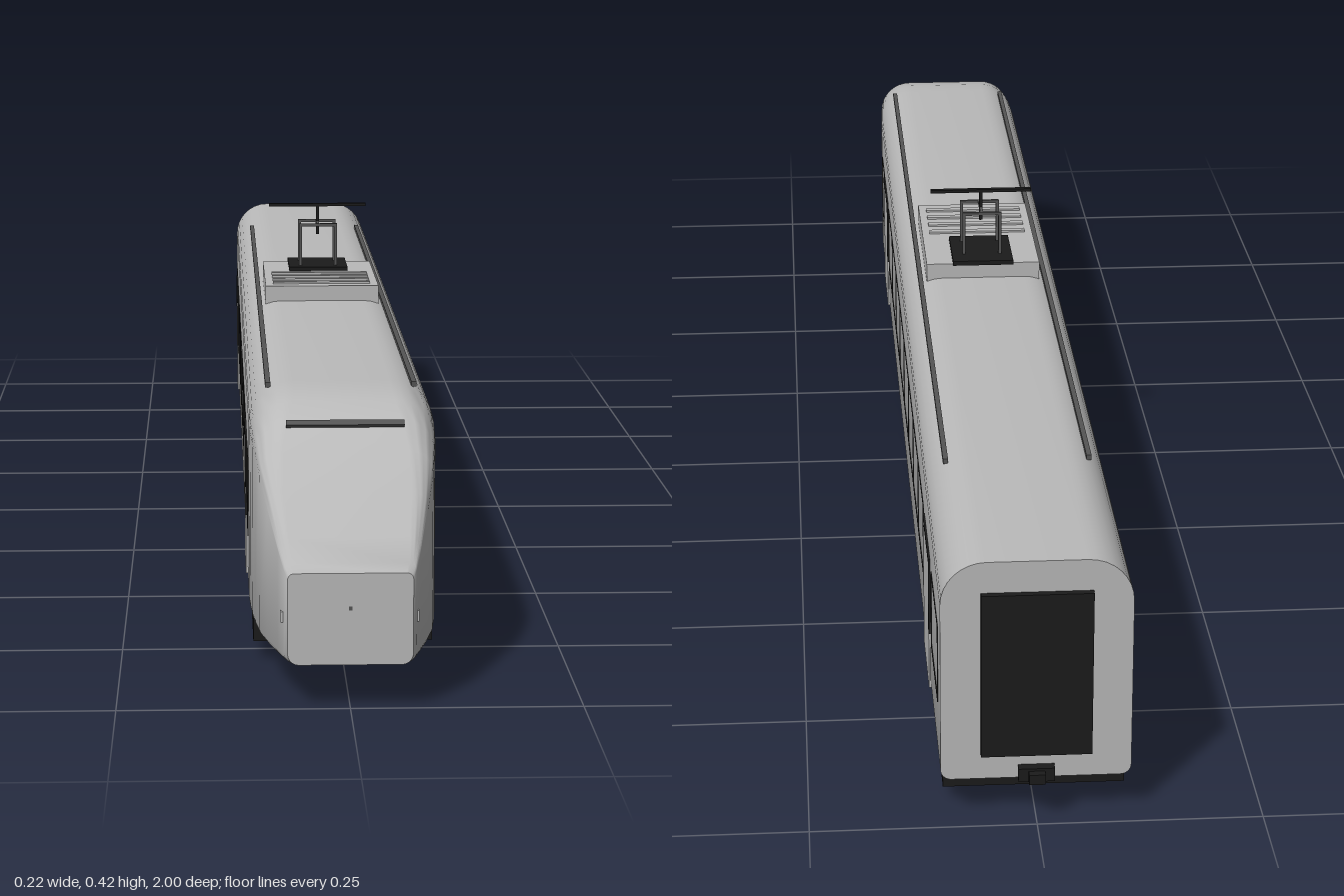
import * as THREE from 'three';
import { toCreasedNormals } from 'three/addons/utils/BufferGeometryUtils.js';

const material = (name, color) => {
  const m = new THREE.MeshStandardMaterial({ color });
  m.name = name;
  return m;
};

// One rounded cross-section, counter-clockwise seen from the front
function section(z, hw, top, rTop, bottom, rBottom) {
  const pts = [];
  const arc = (cx, cy, r, start) => {
    for (let k = 0; k <= 8; k++) {
      const a = start + (k / 8) * Math.PI / 2;
      pts.push([cx + r * Math.cos(a), cy + r * Math.sin(a), z]);
    }
  };
  arc(hw - rBottom, bottom + rBottom, rBottom, -Math.PI / 2);
  arc(hw - rTop, top - rTop, rTop, 0);
  arc(-hw + rTop, top - rTop, rTop, Math.PI / 2);
  arc(-hw + rBottom, bottom + rBottom, rBottom, Math.PI);
  return pts;
}

// Closed skin through a row of cross-sections, rear to front
function loft(rings) {
  const n = rings[0].length, last = rings.length - 1, pos = [];
  const tri = (a, b, c) => pos.push(...a, ...b, ...c);
  for (let i = 0; i < last; i++) {
    for (let j = 0; j < n; j++) {
      const k = (j + 1) % n;
      tri(rings[i][j], rings[i][k], rings[i + 1][j]);
      tri(rings[i][k], rings[i + 1][k], rings[i + 1][j]);
    }
  }
  for (let j = 1; j < n - 1; j++) {
    tri(rings[0][0], rings[0][j + 1], rings[0][j]);
    tri(rings[last][0], rings[last][j], rings[last][j + 1]);
  }
  const g = new THREE.BufferGeometry();
  g.setAttribute('position', new THREE.Float32BufferAttribute(pos, 3));
  return toCreasedNormals(g, 0.5);
}

export function createModel() {
  const train = new THREE.Group();
  train.name = 'railcar';
  const grey = material('body grey', 0xbababa);
  const black = material('underframe black', 0x1b1b1b);
  const dark = material('dark metal', 0x555555);

  const add = (name, geo, mat, x, y, z, parent = train) => {
    const m = new THREE.Mesh(geo, mat);
    m.name = name;
    m.position.set(x, y, z);
    parent.add(m);
    return m;
  };
  const box = (name, w, h, d, mat, x, y, z, parent) =>
    add(name, new THREE.BoxGeometry(w, h, d), mat, x, y, z, parent);

  // Body shell: straight saloon, then a tapering nose: z, half width, top, top radius
  const stations = [
    [-0.98, 0.105, 0.31, 0.05], [0.74, 0.105, 0.31, 0.05],
    [0.78, 0.104, 0.308, 0.049], [0.82, 0.102, 0.301, 0.045],
    [0.855, 0.099, 0.285, 0.036], [0.89, 0.095, 0.258, 0.026],
    [0.93, 0.087, 0.221, 0.018], [0.97, 0.077, 0.18, 0.012],
    [0.992, 0.071, 0.157, 0.009], [1.0, 0.067, 0.148, 0.007],
  ];
  add('bodyShell', loft(stations.map(([z, hw, top, r]) =>
    section(z, hw, top, r, 0.048, 0.012))), grey, 0, 0, 0);

  // Dark slot above the windscreen
  const slot = box('windscreenSlot', 0.13, 0.004, 0.008, dark, 0, 0.283, 0.861);
  slot.rotation.x = 0.6;
  box('noseCouplerCover', 0.004, 0.004, 0.004, dark, 0, 0.11, 0.999);

  // Underframe and wheels
  box('underframe', 0.202, 0.03, 1.75, black, 0, 0.037, -0.075);
  const wheel = new THREE.CylinderGeometry(0.031, 0.031, 0.01, 24).rotateZ(Math.PI / 2);
  for (const z of [0.715, 0.525, -0.56, -0.75])
    for (const s of [-1, 1]) add('wheel', wheel, black, s * 0.055, 0.031, z);

  // Rear gangway door and coupler
  box('gangwayDoor', 0.122, 0.195, 0.012, black, 0, 0.176, -0.982);
  box('couplerBar', 0.018, 0.012, 0.06, black, 0, 0.055, -0.97);
  box('couplerHead', 0.04, 0.016, 0.012, black, 0, 0.056, -0.985);

  // Window frames, doors, roof rails and lamps, mirrored on both sides
  const windows = [[0.615, 0.7], [-0.936, -0.803]];
  for (let i = 0; i < 8; i++) windows.push([0.315 - i * 0.134, 0.449 - i * 0.134]);
  const t = 0.005, low = 0.123, high = 0.214;
  for (const s of [-1, 1]) {
    const x = s * 0.105;
    for (const [a, b] of windows) {
      const frame = new THREE.Group();
      frame.name = 'windowFrame';
      train.add(frame);
      for (const z of [a, b])
        box('frameUpright', 0.002, high - low, t, black, x, (low + high) / 2, z, frame);
      box('frameSill', 0.002, t, b - a, black, x, low, (a + b) / 2, frame);
      box('frameHead', 0.002, t * 0.5, b - a, black, x, high, (a + b) / 2, frame);
    }
    for (const z of [0.532, -0.712]) {
      box('door', 0.004, 0.163, 0.118, grey, x, 0.132, z);
      box('doorHead', 0.005, t, 0.126, black, x, high, z);
      for (const e of [-1, 1])
        box('doorSeam', 0.005, 0.092, 0.004, black, x, 0.168, z + e * 0.061);
    }
    box('roofRail', 0.006, 0.006, 1.44, dark, s * 0.083, 0.305, 0.02);
    box('noseLamp', 0.006, 0.012, 0.014, grey, s * 0.071, 0.098, 0.982);
  }

  // Roof equipment housing with ribs
  box('roofHousing', 0.15, 0.026, 0.24, grey, 0, 0.317, 0.01);
  for (let i = 0; i < 4; i++)
    box('housingRib', 0.13, 0.003, 0.01, grey, 0, 0.331, 0.105 - i * 0.03);

  // Current collector on its base
  const collector = new THREE.Group();
  collector.name = 'currentCollector';
  train.add(collector);
  box('collectorBase', 0.08, 0.006, 0.1, black, 0, 0.332, -0.065, collector);
  for (const z of [-0.035, -0.085]) {
    for (const s of [-1, 1])
      box('collectorPost', 0.004, 0.06, 0.004, dark, s * 0.024, 0.362, z, collector);
    box('collectorCrossbar', 0.052, 0.004, 0.004, dark, 0, 0.391, z, collector);
  }
  box('collectorLink', 0.004, 0.004, 0.05, dark, 0, 0.391, -0.06, collector);
  box('collectorMast', 0.004, 0.042, 0.004, black, 0, 0.396, -0.062, collector);
  box('contactStrip', 0.134, 0.004, 0.007, black, 0, 0.416, -0.062, collector);

  return train;
}
